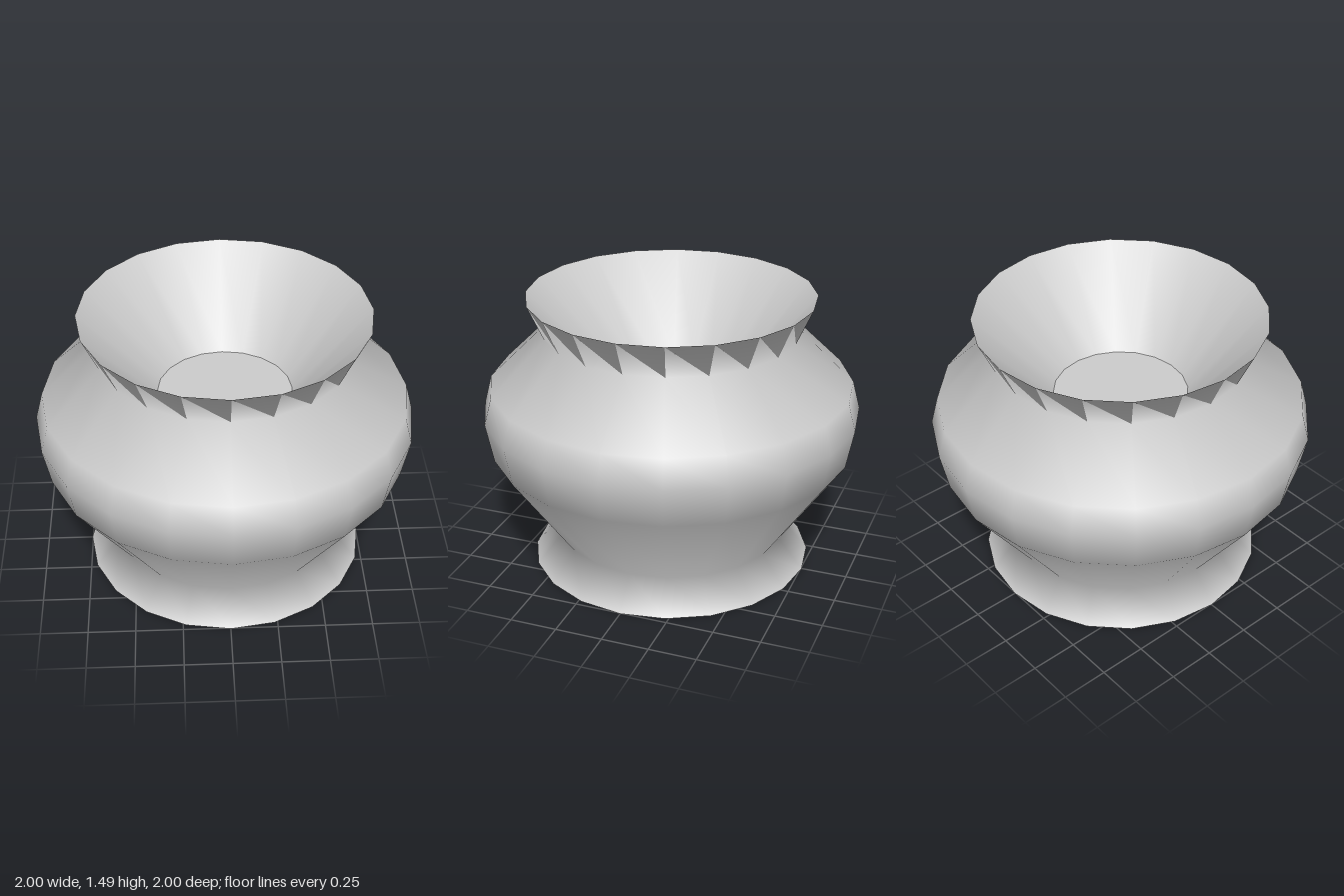
import * as THREE from 'three';

const SIDES = 20;

export function createModel() {
  const pot = new THREE.Group();
  pot.name = 'pot';
  const material = new THREE.MeshStandardMaterial({ color: 0xcccccc });

  const add = (name, geometry) => {
    const mesh = new THREE.Mesh(geometry, material);
    mesh.name = name;
    pot.add(mesh);
    return mesh;
  };

  // Wall: flared foot, belly, neck, flared lip, then the inner funnel
  const profile = [
    [0.755, 0],
    [0.62, 0.16],
    [0.96, 0.65],
    [1, 0.86],
    [0.96, 1.01],
    [0.67, 1.295],
    [0.755, 1.485],
    [0.355, 1.01],
  ].map(([r, y]) => new THREE.Vector2(r, y));
  add('wall', new THREE.LatheGeometry(profile, SIDES));

  // Flat discs closing the funnel and the underside of the foot
  const disc = (name, radius, y, tilt) => {
    const mesh = add(name, new THREE.CircleGeometry(radius, SIDES));
    mesh.rotation.x = tilt;
    mesh.position.y = y;
  };
  disc('innerFloor', 0.355, 1.01, -Math.PI / 2);
  disc('base', 0.755, 0, Math.PI / 2);

  return pot;
}
